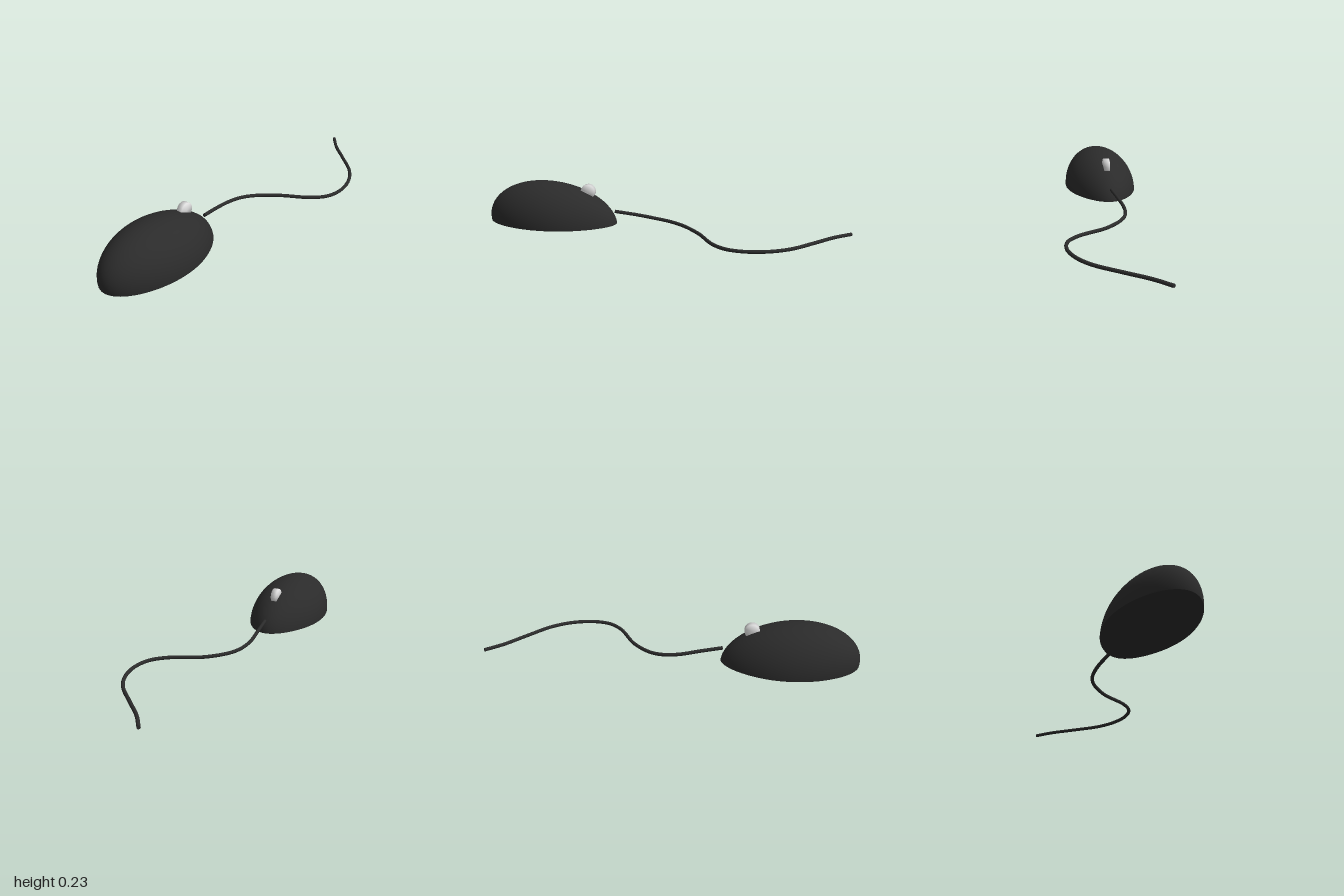
import * as THREE from 'three';
import { mergeVertices } from 'three/addons/utils/BufferGeometryUtils.js';

const CX = -0.09; // centre line of the body

const charcoal = new THREE.MeshStandardMaterial({ color: 0x2b2b2b });
charcoal.name = 'charcoal';
const lightGrey = new THREE.MeshStandardMaterial({ color: 0xdddddd });
lightGrey.name = 'lightGrey';

// Weld a geometry so that its shading runs smoothly over every edge
function smooth(geo) {
  geo.deleteAttribute('uv');
  geo.deleteAttribute('normal');
  const welded = mergeVertices(geo, 1e-5);
  welded.computeVertexNormals();
  return welded;
}

// Egg-shaped dome with a flat underside, its crown leaning towards the front
function createBody() {
  const geo = new THREE.SphereGeometry(1, 64, 48);
  const p = geo.attributes.position;
  for (let i = 0; i < p.count; i++) {
    const x = p.getX(i), z = p.getZ(i);
    const y = Math.max(0, p.getY(i));
    const lean = y > 0 ? 0.0625 * (0.35 * (1 - Math.hypot(x, z)) + 0.65 * y) : 0;
    const taper = 1 - (z > 0 ? 0.08 : 0.16) * z * z;
    p.setXYZ(i, CX + 0.206 * x * taper, 0.003 + 0.225 * y, 0.637 + 0.362 * z + lean);
  }
  const mesh = new THREE.Mesh(smooth(geo), charcoal);
  mesh.name = 'body';
  return mesh;
}

// Small wheel sunk into the back slope
function createWheel() {
  const geo = new THREE.CylinderGeometry(0.04, 0.04, 0.032, 16);
  geo.rotateZ(Math.PI / 2);
  const mesh = new THREE.Mesh(smooth(geo), lightGrey);
  mesh.name = 'scrollWheel';
  mesh.position.set(CX, 0.181, 0.434);
  return mesh;
}

// Cable dropping to the ground, then winding backwards
function createCable() {
  const path = [
    [-0.09, 0.073, 0.285], [-0.104, 0.055, 0.16], [-0.112, 0.038, 0.063],
    [-0.102, 0.026, -0.025], [-0.066, 0.018, -0.1], [0.035, 0.011, -0.197],
    [0.2, 0.011, -0.292], [0.264, 0.011, -0.365], [0.285, 0.011, -0.465],
    [0.264, 0.011, -0.58], [0.205, 0.011, -0.688], [0.085, 0.011, -0.808],
    [-0.02, 0.011, -0.908], [-0.09, 0.011, -0.997],
  ].map((a) => new THREE.Vector3(...a));
  const curve = new THREE.CatmullRomCurve3(path);
  const group = new THREE.Group();
  group.name = 'cable';
  const tube = new THREE.Mesh(new THREE.TubeGeometry(curve, 120, 0.0095, 12), charcoal);
  tube.name = 'cableTube';
  group.add(tube);
  // Flat discs close both ends
  for (const t of [0, 1]) {
    const cap = new THREE.Mesh(new THREE.CircleGeometry(0.0095, 12), charcoal);
    cap.name = 'cableEnd';
    cap.position.copy(curve.getPoint(t));
    cap.lookAt(cap.position.clone().addScaledVector(curve.getTangent(t), t ? 1 : -1));
    group.add(cap);
  }
  return group;
}

export function createModel() {
  const model = new THREE.Group();
  model.name = 'computerMouse';
  model.add(createBody(), createWheel(), createCable());
  return model;
}
